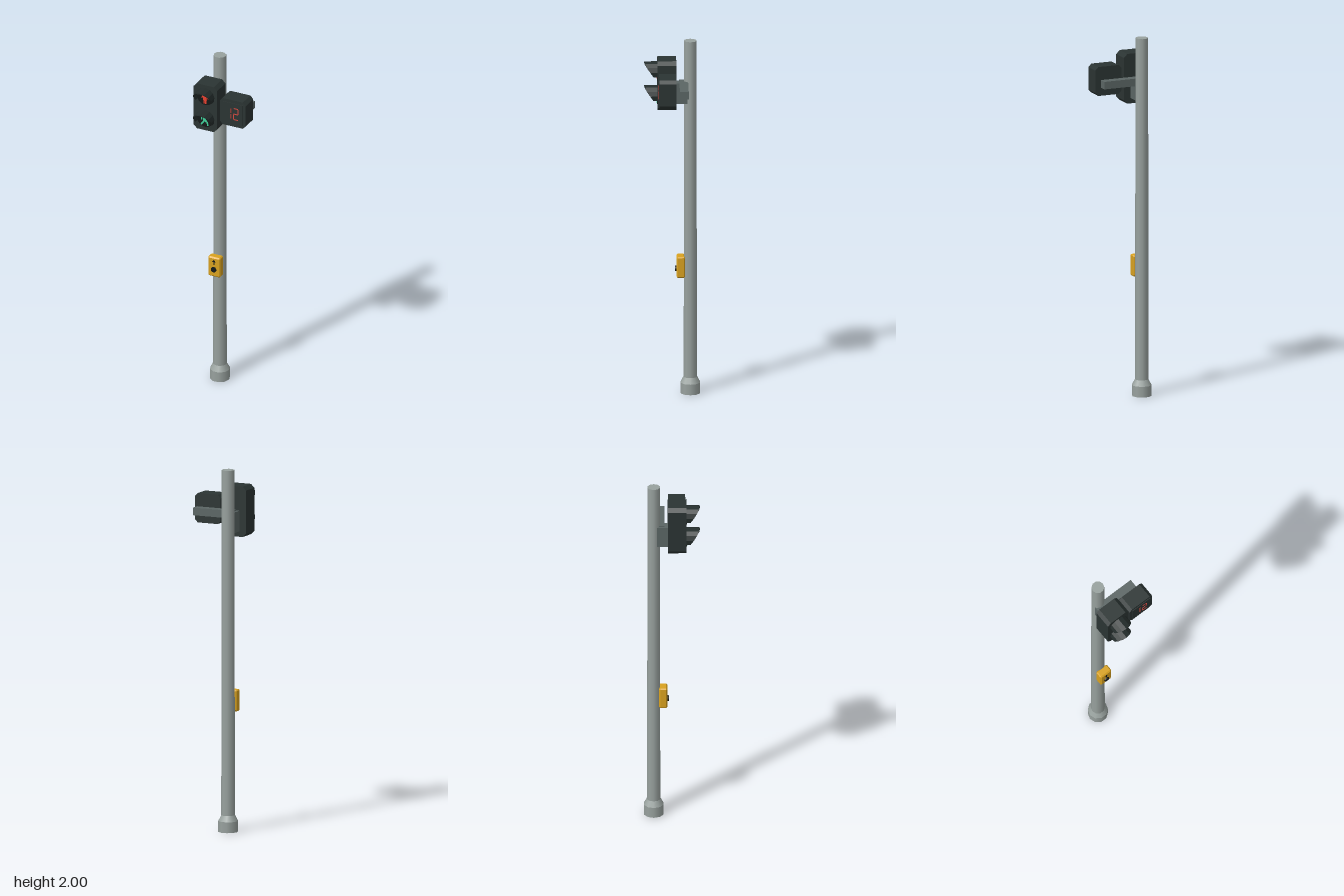
import * as THREE from 'three';

const mat = (name, color, side = THREE.FrontSide) => {
  const m = new THREE.MeshStandardMaterial({ color, side });
  m.name = name;
  return m;
};

export function createModel() {
  const steel = mat('galvanised steel', 0x98a19e);
  const bracketGrey = mat('bracket grey', 0x5b6665);
  const housing = mat('housing dark', 0x2b3433);
  const visorMat = mat('visor dark', 0x242d2c, THREE.DoubleSide);
  const lensMat = mat('lens black', 0x141918);
  const yellow = mat('button yellow', 0xd9a21f);
  const red = mat('signal red', 0xe8402f);
  const green = mat('signal green', 0x3fd09a);
  const digitRed = mat('digit red', 0xd8483e);

  const PX = -0.086, PZ = -0.1;
  const root = new THREE.Group();
  root.name = 'pedestrianSignal';

  const add = (name, geo, material, x = 0, y = 0, z = 0, parent = root) => {
    const m = new THREE.Mesh(geo, material);
    m.name = name;
    m.position.set(x, y, z);
    parent.add(m);
    return m;
  };
  const box = (w, h, d) => new THREE.BoxGeometry(w, h, d);
  const poly = (pts) => new THREE.Shape(pts.map(([x, y]) => new THREE.Vector2(x, y)));
  const plate = (shape, depth) =>
    new THREE.ExtrudeGeometry(shape, { depth, bevelEnabled: false, curveSegments: 8 });
  // Rectangle with cut corners
  const cutRect = (w, h, c) => {
    const a = w / 2, b = h / 2;
    return poly([[-a + c, -b], [a - c, -b], [a, -b + c], [a, b - c],
      [a - c, b], [-a + c, b], [-a, b - c], [-a, -b + c]]);
  };
  const disc = (x, y, r) => new THREE.Shape().absarc(x, y, r, 0, Math.PI * 2, false);

  // Pole: footing, collar and slightly tapered shaft
  const tube = (name, rTop, rBottom, y0, y1, open) => {
    const g = new THREE.CylinderGeometry(rTop, rBottom, y1 - y0, 10, 1, open);
    g.rotateY(Math.PI / 2);
    add(name, g, steel, PX, (y0 + y1) / 2, PZ);
  };
  tube('poleFooting', 0.055, 0.055, 0, 0.06, false);
  tube('poleCollar', 0.038, 0.055, 0.06, 0.092, true);
  tube('poleShaft', 0.035, 0.038, 0.06, 2, false);

  // Brackets holding the two housings
  add('headBracket', box(0.063, 0.115, 0.062), bracketGrey, PX, 1.707, -0.052);
  add('sideArm', box(0.237, 0.042, 0.048), bracketGrey, 0.0135, 1.751, -0.064);

  // Signal head
  const head = new THREE.Group();
  head.name = 'signalHead';
  head.position.set(PX, 0, 0);
  root.add(head);
  add('headHousing', plate(cutRect(0.142, 0.278, 0.02), 0.102), housing, 0, 1.759, -0.023, head);

  // Hood: an arc over the lens whose length shrinks down the sides
  const visor = () => {
    const n = 8, span = 1.95, pos = [], idx = [];
    for (let i = 0; i <= n; i++) {
      const a = -span + (2 * span * i) / n;
      const len = 0.036 + 0.037 * Math.cos(a);
      for (const [r, z] of [[0.055, 0], [0.055, len], [0.05, len], [0.05, 0]]) {
        pos.push(r * Math.sin(a), r * Math.cos(a), z);
      }
      if (i < n) {
        for (let k = 0; k < 3; k++) {
          const p = i * 4 + k, q = p + 4;
          idx.push(p, p + 1, q, q, p + 1, q + 1);
        }
      }
    }
    // End strips
    idx.push(0, 2, 1, 0, 3, 2);
    const e = n * 4;
    idx.push(e, e + 1, e + 2, e, e + 2, e + 3);
    const g = new THREE.BufferGeometry();
    g.setAttribute('position', new THREE.Float32BufferAttribute(pos, 3));
    g.setIndex(idx);
    const flat = g.toNonIndexed();
    flat.computeVertexNormals();
    return flat;
  };

  const standing = [
    disc(0, 0.033, 0.0085),
    poly([[-0.012, 0.023], [-0.022, -0.008], [-0.017, -0.01], [-0.011, 0.004], [-0.009, -0.04],
      [-0.002, -0.04], [0, -0.012], [0.002, -0.04], [0.009, -0.04], [0.011, 0.004],
      [0.017, -0.01], [0.022, -0.008], [0.012, 0.023]]),
  ];
  const walking = [
    disc(-0.002, 0.034, 0.0085),
    poly([[-0.008, 0.024], [-0.024, 0.008], [-0.022, -0.008], [-0.017, -0.007], [-0.017, 0.005],
      [-0.01, 0.01], [-0.011, -0.012], [-0.027, -0.035], [-0.02, -0.04], [-0.002, -0.015],
      [0.01, -0.022], [0.014, -0.041], [0.022, -0.039], [0.017, -0.017], [0.005, -0.004],
      [0.006, 0.011], [0.013, 0.003], [0.025, 0.002], [0.025, 0.008], [0.015, 0.009], [0.006, 0.024]]),
  ];
  for (const [name, y, figure, colour] of [
    ['stop', 1.827, standing, red],
    ['walk', 1.692, walking, green],
  ]) {
    add(name + 'Lens', plate(disc(0, 0, 0.05), 0.003), lensMat, 0, y, 0.079, head);
    add(name + 'Figure', plate(figure, 0.003), colour, 0, y, 0.082, head);
    add(name + 'Visor', visor(), visorMat, 0, y, 0.079, head);
  }

  // Countdown box with a raised panel and segment digits
  const timer = new THREE.Group();
  timer.name = 'countdown';
  timer.position.set(0.077, 1.76, 0);
  root.add(timer);
  add('countdownHousing', plate(cutRect(0.157, 0.162, 0.018), 0.092), housing, 0, 0, -0.02, timer);
  add('countdownPanel', box(0.124, 0.126, 0.004), housing, 0, 0, 0.074, timer);
  const bar = (x, y, w, h) => add('digitSegment', box(w, h, 0.002), digitRed, x, y, 0.077, timer);
  for (const s of [-1, 1]) bar(-0.009, s * 0.017, 0.005, 0.028);
  for (const y of [-0.034, 0, 0.034]) bar(0.021, y, 0.025, 0.005);
  bar(0.034, 0.017, 0.005, 0.028);
  bar(0.008, -0.017, 0.005, 0.028);

  // Push button box with bevelled front
  const c = 0.007;
  const push = new THREE.Group();
  push.name = 'pushButton';
  push.position.set(PX, 0.72, 0);
  root.add(push);
  const shell = new THREE.ExtrudeGeometry(cutRect(0.074 - 2 * c, 0.12 - 2 * c, 0.002), {
    depth: 0.032, bevelThickness: c, bevelSize: c, bevelSegments: 1,
  });
  add('buttonBox', shell, yellow, 0, 0, -0.064, push);
  const arrow = poly([[-0.003, 0.014], [0.003, 0.014], [0.003, 0.031], [0.011, 0.031],
    [0, 0.046], [-0.011, 0.031], [-0.003, 0.031]]);
  add('buttonArrow', plate(arrow, 0.002), lensMat, 0, 0, -0.026, push);
  const knob = new THREE.CylinderGeometry(0.015, 0.016, 0.009, 12);
  knob.rotateX(Math.PI / 2);
  add('buttonKnob', knob, lensMat, 0, -0.014, -0.022, push);

  return root;
}
